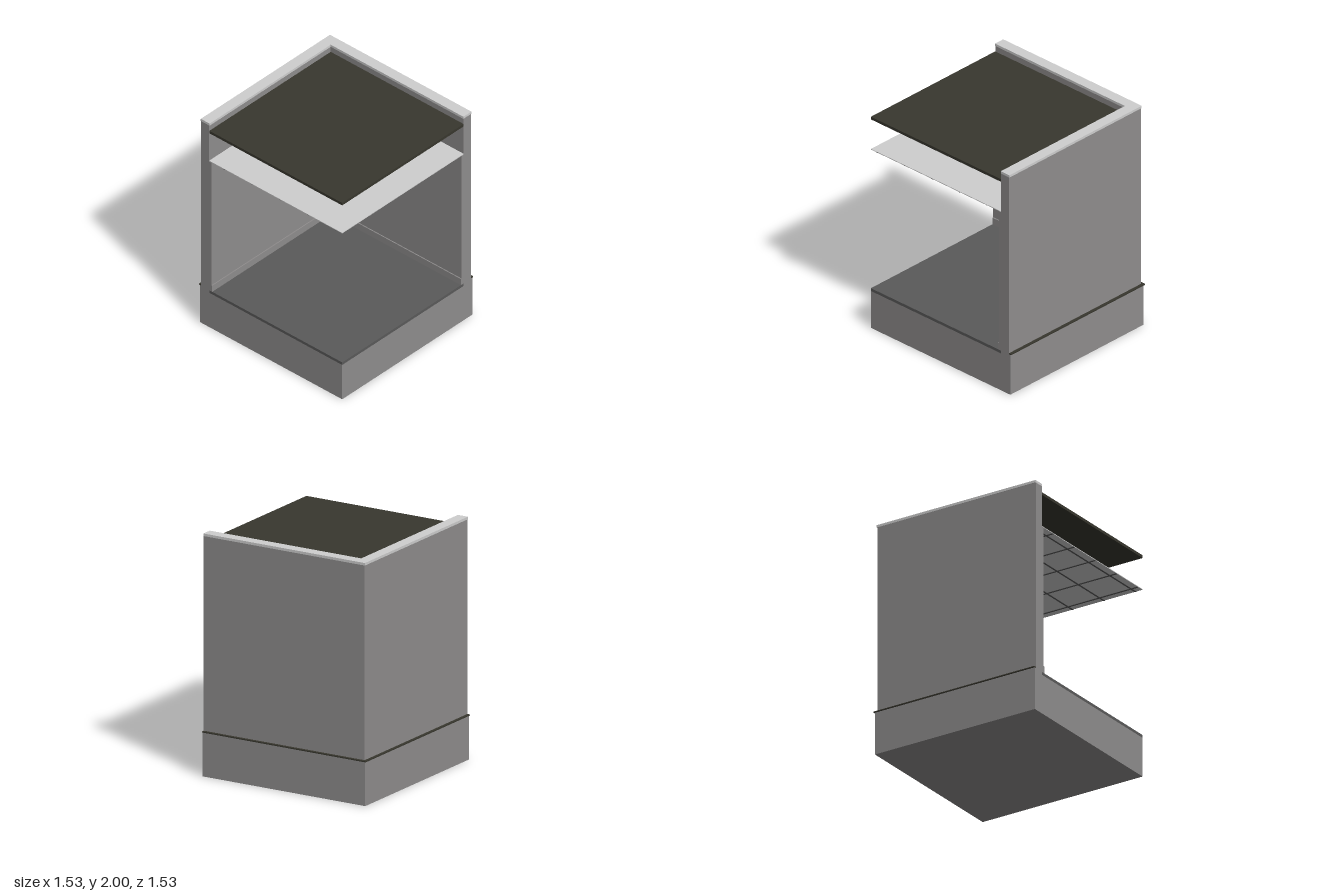
import * as THREE from 'three';

const material = (name, color) => {
  const m = new THREE.MeshStandardMaterial({ color });
  m.name = name;
  return m;
};

export function createModel() {
  const concrete = material('wall grey', 0x8f8d8d);
  const pale = material('pale grey', 0xcfcfcf);
  const floorGrey = material('floor grey', 0x5a5a5a);
  const dark = material('roofing dark', 0x38372e);
  const gridGrey = material('ceiling grid grey', 0x5c5c5c);

  const model = new THREE.Group();
  model.name = 'buildingCorner';
  const END = 0.766; // open ends of the cutaway on +x and +z

  function box(name, mat, x0, x1, y0, y1, z0, z1, parent = model) {
    const mesh = new THREE.Mesh(new THREE.BoxGeometry(x1 - x0, y1 - y0, z1 - z0), mat);
    mesh.position.set((x0 + x1) / 2, (y0 + y1) / 2, (z0 + z1) / 2);
    mesh.name = name;
    parent.add(mesh);
    return mesh;
  }

  // Mitred L-shaped layer along the -x and -z sides
  function corner(name, mat, outer, inner, y0, y1) {
    const shape = new THREE.Shape([
      [outer, -END], [inner, -END], [inner, -inner], [END, -inner], [END, -outer], [outer, -outer],
    ].map(([x, y]) => new THREE.Vector2(x, y)));
    const geometry = new THREE.ExtrudeGeometry(shape, { depth: y1 - y0, bevelEnabled: false });
    geometry.rotateX(-Math.PI / 2);
    const mesh = new THREE.Mesh(geometry, mat);
    mesh.position.y = y0;
    mesh.name = name;
    model.add(mesh);
  }

  // Foundation and floor
  box('foundation', concrete, -0.757, END, 0, 0.337, -0.757, END);
  corner('foundationUpstand', concrete, -0.757, -0.655, 0.337, 0.364);
  box('floor', floorGrey, -0.655, END, 0.337, 0.362, -0.655, END);

  // Two walls with their inner lining, skirting and outside flashing
  corner('walls', concrete, -0.742, -0.657, 0.364, 1.979);
  corner('wallLining', concrete, -0.657, -0.633, 0.362, 1.626);
  corner('skirting', concrete, -0.633, -0.624, 0.362, 0.422);
  corner('flashing', dark, -END, -0.742, 0.364, 0.373);
  corner('parapetCap', pale, -0.747, -0.653, 1.979, 2);

  // Roof and suspended ceiling
  box('roof', dark, -0.655, END, 1.904, 1.928, -0.655, END);
  box('ceiling', pale, -0.657, END, 1.628, 1.634, -0.657, END);

  // Ceiling grid bars and a square vent underneath
  const grid = new THREE.Group();
  grid.name = 'ceilingGrid';
  model.add(grid);
  for (let p = -0.5; p < END; p += 0.3) {
    box('gridBar', gridGrey, p - 0.008, p + 0.008, 1.625, 1.628, -0.633, END, grid);
    box('gridCrossBar', gridGrey, -0.633, END, 1.6255, 1.628, p - 0.008, p + 0.008, grid);
  }
  box('ceilingVent', gridGrey, -0.05, 0.18, 1.621, 1.628, -0.04, 0.19);

  return model;
}
